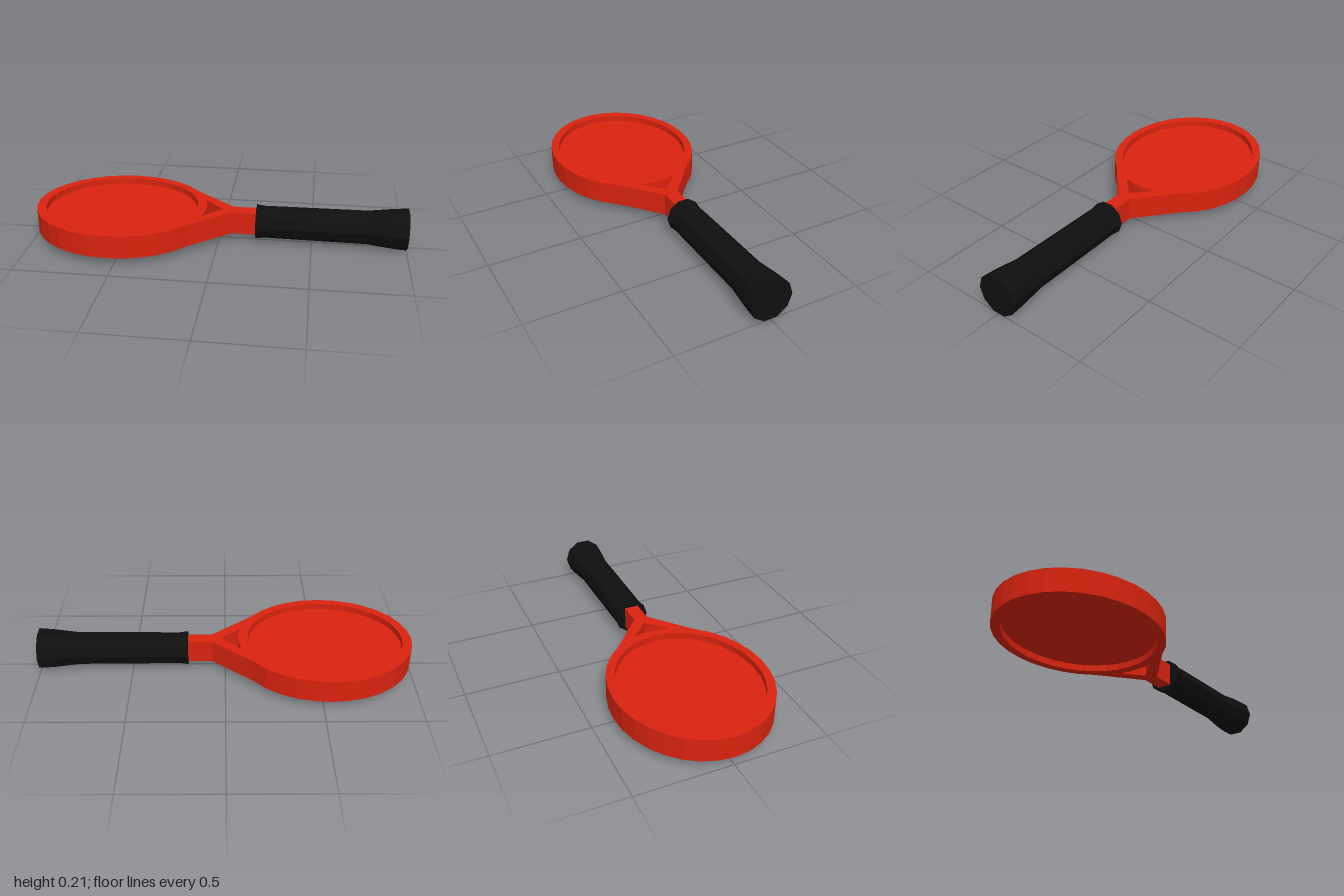
import * as THREE from 'three';

const MID_Y = 0.107;
const CX = -0.535; // centre of the oval head

// Points on an oval around the head centre, from segment a to b of 32
function oval(rx, rz, a, b) {
  const pts = [];
  for (let i = a; i <= b; i++) {
    const t = (i / 32) * Math.PI * 2;
    pts.push(new THREE.Vector2(CX + rx * Math.cos(t), rz * Math.sin(t)));
  }
  return pts;
}

// Extrude a plan shape (x, z) vertically, centred on the mid height
function slab(shape, height) {
  const g = new THREE.ExtrudeGeometry(shape, { depth: height, bevelEnabled: false });
  g.translate(0, 0, -height / 2);
  g.rotateX(-Math.PI / 2);
  g.translate(0, MID_Y, 0);
  return g;
}

export function createModel() {
  const red = new THREE.MeshStandardMaterial({ color: 0xd9230f, flatShading: true });
  red.name = 'red frame';
  const black = new THREE.MeshStandardMaterial({ color: 0x0f0f0f, flatShading: true });
  black.name = 'black grip';

  const group = new THREE.Group();
  group.name = 'racket';
  const add = (name, geometry, material) => {
    const mesh = new THREE.Mesh(geometry, material);
    mesh.name = name;
    group.add(mesh);
  };

  // Frame: oval rim, tapering throat and neck in one outline
  const v = (x, z) => new THREE.Vector2(x, z);
  const outline = new THREE.Shape([
    ...oval(0.465, 0.4, 3, 29),
    v(0.07, -0.038), v(0.24, -0.038), v(0.24, 0.038), v(0.07, 0.038),
  ]);
  outline.holes.push(new THREE.Path(oval(0.415, 0.357, 0, 31)));
  // Triangular throat opening with its base curved along the rim
  outline.holes.push(new THREE.Path([
    v(0.02, 0), v(-0.083, 0.1), v(-0.074, 0.05), v(-0.071, 0), v(-0.074, -0.05), v(-0.083, -0.1),
  ]));
  add('frame', slab(outline, 0.123), red);

  // Hitting face, recessed on both sides
  add('hittingFace', slab(new THREE.Shape(oval(0.417, 0.359, 0, 31)), 0.055), red);

  // Ten-sided grip with a small collar and a flared butt
  const profile = [
    [0, 0.2], [0.093, 0.2], [0.086, 0.25], [0.087, 0.3], [0.09, 0.79],
    [0.107, 0.93], [0.112, 1], [0, 1],
  ].map(([r, x]) => v(r, x));
  const grip = new THREE.LatheGeometry(profile, 10);
  grip.rotateZ(-Math.PI / 2); // length now runs along +x
  grip.translate(0, MID_Y, 0);
  add('grip', grip, black);

  return group;
}
